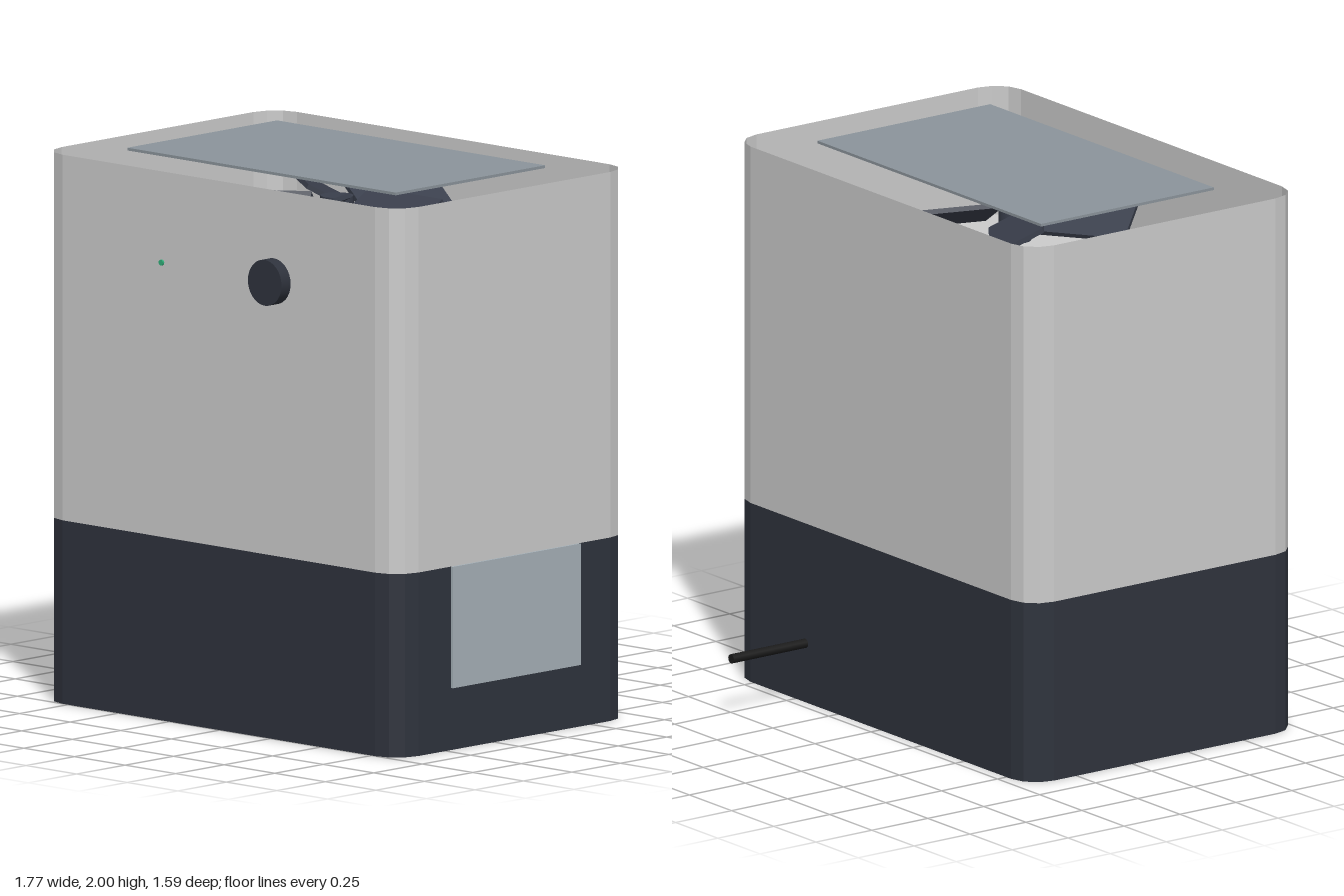
import * as THREE from 'three';

const CX = -0.005, CZ = 0.145; // axis of the housing

const paint = (color, extra = {}) => new THREE.MeshStandardMaterial({ color, ...extra });

// Open vertical wall following a rounded rectangle, corners in three facets
function wallGeometry(width, depth, radius, y0, y1) {
  const loop = [];
  const corners = [[1, 1], [-1, 1], [-1, -1], [1, -1]];
  corners.forEach(([sx, sz], c) => {
    for (let i = 0; i <= 3; i++) {
      const a = (c + i / 3) * Math.PI / 2;
      loop.push([
        sx * (width / 2 - radius) + radius * Math.cos(a),
        sz * (depth / 2 - radius) + radius * Math.sin(a),
      ]);
    }
  });
  const pos = [];
  loop.forEach(([ax, az], i) => {
    const [bx, bz] = loop[(i + 1) % loop.length];
    pos.push(ax, y0, az, ax, y1, az, bx, y0, bz);
    pos.push(bx, y0, bz, ax, y1, az, bx, y1, bz);
  });
  const g = new THREE.BufferGeometry();
  g.setAttribute('position', new THREE.Float32BufferAttribute(pos, 3));
  g.computeVertexNormals();
  return g;
}

export function createModel() {
  const model = new THREE.Group();
  model.name = 'airPurifier';

  const add = (name, geometry, material, x, y, z, parent = model) => {
    const mesh = new THREE.Mesh(geometry, material);
    mesh.name = name;
    mesh.position.set(x, y, z);
    parent.add(mesh);
    return mesh;
  };
  // Box given by its limits on each axis
  const slab = (name, material, [x0, x1], [y0, y1], [z0, z1]) =>
    add(name, new THREE.BoxGeometry(x1 - x0, y1 - y0, z1 - z0), material,
      (x0 + x1) / 2, (y0 + y1) / 2, (z0 + z1) / 2);
  // Cylinder lying along z
  const rod = (name, material, radius, x, y, z0, z1, sides) =>
    add(name, new THREE.CylinderGeometry(radius, radius, z1 - z0, sides).rotateX(Math.PI / 2),
      material, x, y, (z0 + z1) / 2);

  const dark = paint(0x2f333d);
  const black = paint(0x1a1a1a);
  const shell = { side: THREE.DoubleSide, flatShading: true };

  // Housing: thin open walls
  add('upperHousing', wallGeometry(1.765, 1.21, 0.11, 0.665, 1.99), paint(0xcccccc, shell), CX, 0, CZ);
  add('baseTank', wallGeometry(1.765, 1.21, 0.11, 0, 0.665), paint(0x2f333d, shell), CX, 0, CZ);

  // Top cover plate
  slab('topCover', paint(0x8b949b), [-0.67, 0.655], [1.99, 2.0], [-0.245, 0.527]);

  // Filter drum inside the housing
  add('filterDrum', new THREE.CylinderGeometry(0.495, 0.495, 1.06, 20),
    paint(0xcccccc, { flatShading: true }), CX, 1.14, 0.14);

  // Fan: five pitched blades around a small hub
  const fan = new THREE.Group();
  fan.name = 'fan';
  fan.position.set(CX, 1.83, 0.14);
  model.add(fan);
  const bladeColor = paint(0x3a3f4c);
  add('fanHub', new THREE.CylinderGeometry(0.06, 0.06, 0.14, 16), bladeColor, 0, -0.04, 0, fan);
  for (let i = 0; i < 5; i++) {
    const arm = new THREE.Group();
    arm.name = 'fanBladeArm';
    arm.rotation.y = i * Math.PI * 2 / 5;
    fan.add(arm);
    const blade = add('fanBlade', new THREE.BoxGeometry(0.357, 0.018, 0.21), bladeColor, 0.2585, 0, 0, arm);
    blade.rotation.x = 0.5;
  }

  // Water window on the side, with the water behind it
  slab('waterWindow', paint(0xa6b1b8), [0.877, 0.887], [0.225, 0.665], [-0.187, 0.473]);
  slab('water', paint(0x3a8fc4), [0.855, 0.876], [0.24, 0.6], [-0.16, 0.445]);

  // Controls on the front
  rod('controlKnob', dark, 0.083, 0.267, 1.66, 0.75, 0.797, 32);
  rod('indicatorLight', paint(0x2fae78), 0.011, -0.285, 1.66, 0.746, 0.757, 12);

  // Power cord at the back
  rod('powerCord', black, 0.017, 0.435, 0.222, -0.797, -0.465, 12);

  return model;
}
